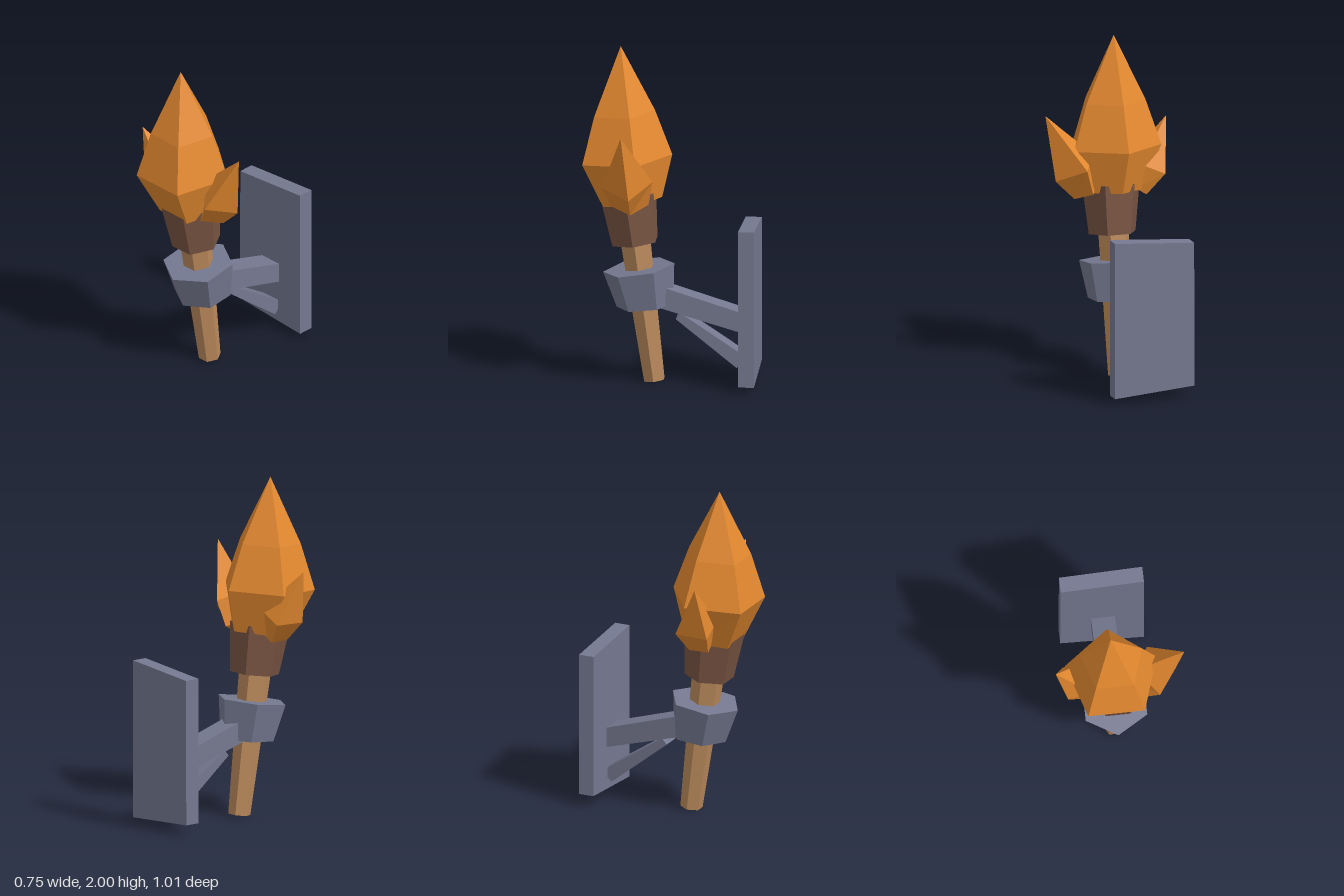
import * as THREE from 'three';

const mat = (name, color) => Object.assign(new THREE.MeshStandardMaterial({ color, flatShading: true }), { name });

// Tilted regular ring of n points, counter-clockwise seen from above; start is the angle from +z
function ring(x, y, z, r, n, start = 0, slope = 0.12) {
  return Array.from({ length: n }, (_, i) => {
    const a = start + (i / n) * Math.PI * 2;
    const dz = r * Math.cos(a);
    return [x + r * Math.sin(a), y - slope * dz, z + dz];
  });
}

// Skin through rings from bottom to top, closed by a fan at each end
function loft(rings) {
  const pos = [];
  const tri = (a, b, c) => pos.push(...a, ...b, ...c);
  const n = rings[0].length;
  for (let k = 0; k < rings.length - 1; k++) {
    const lo = rings[k], hi = rings[k + 1];
    for (let i = 0; i < n; i++) {
      const j = (i + 1) % n;
      tri(lo[i], lo[j], hi[j]);
      tri(lo[i], hi[j], hi[i]);
    }
  }
  const bottom = rings[0], top = rings[rings.length - 1];
  for (let i = 1; i < n - 1; i++) {
    tri(bottom[0], bottom[i + 1], bottom[i]);
    tri(top[0], top[i], top[i + 1]);
  }
  const g = new THREE.BufferGeometry();
  g.setAttribute('position', new THREE.Float32BufferAttribute(pos, 3));
  g.computeVertexNormals();
  return g;
}

const extrude = (pts, depth) => new THREE.ExtrudeGeometry(
  new THREE.Shape(pts.map(p => new THREE.Vector2(...p))), { depth, bevelEnabled: false });

// Bar from a (z, y) side profile, spanning x0 to x1
const sideBar = (pts, x0, x1) => extrude(pts, x1 - x0).rotateY(-Math.PI / 2).translate(x1, 0, 0);

export function createModel() {
  const group = new THREE.Group();
  const iron = mat('iron', 0x757990);
  const wood = mat('lightWood', 0xbb8a5c);
  const dark = mat('darkWood', 0x7a5543);
  const fire = mat('flameOrange', 0xe4892f);
  const add = (name, geometry, material) => {
    const m = new THREE.Mesh(geometry, material);
    m.name = name;
    group.add(m);
  };
  const hex = Math.PI / 6, pent = Math.PI / 5;

  // Wall bracket
  add('wallPlate', extrude([[-0.275, 0.075], [0.215, 0.037], [0.215, 0.972], [-0.272, 0.935]], 0.093)
    .translate(0, 0, -0.503), iron);
  add('bracketArm', sideBar([[-0.42, 0.317], [0.09, 0.465], [0.04, 0.58], [-0.42, 0.437]], -0.095, 0.045), iron);
  add('bracketBrace', sideBar([[-0.385, 0.105], [-0.03, 0.39], [-0.06, 0.425], [-0.42, 0.185], [-0.42, 0.14]],
    -0.083, 0.035), iron);
  add('collar', loft([
    ring(-0.022, 0.458, 0.155, 0.165, 6, 0, 0.1),
    ring(-0.025, 0.68, 0.192, 0.208, 6, 0, 0.15),
  ]), iron);

  // Torch body
  add('handle', loft([
    ring(-0.02, 0.01, 0.1, 0.065, 6, hex),
    ring(-0.028, 0.9, 0.218, 0.096, 6, hex),
  ]), wood);
  add('torchHead', loft([
    ring(-0.02, 0.838, 0.213, 0.144, 6, hex),
    ring(-0.026, 1.13, 0.253, 0.178, 6, hex),
  ]), dark);

  // Flames
  const tip = (x, y, z, n) => Array.from({ length: n }, () => [x, y, z]);
  add('mainFlame', loft([
    ring(-0.03, 1.085, 0.24, 0.185, 5, pent),
    ring(-0.048, 1.34, 0.28, 0.282, 5, pent, 0.07),
    ring(-0.05, 1.61, 0.29, 0.191, 5, pent, 0.07),
    tip(-0.06, 2, 0.3, 5),
  ]), fire);
  add('leftFlame', loft([
    [[0.14, 1.09, 0.34], [0.21, 1.055, 0.22], [0.13, 1.1, 0.12], [0.06, 1.13, 0.23]],
    [[0.22, 1.22, 0.385], [0.325, 1.17, 0.22], [0.175, 1.25, 0.092], [0.09, 1.31, 0.25]],
    tip(0.375, 1.56, 0.26, 4),
  ]), fire);
  add('rightFlame', loft([
    [[-0.15, 1.1, 0.3], [-0.15, 1.1, 0.17], [-0.22, 1.055, 0.18], [-0.215, 1.055, 0.3]],
    [[-0.17, 1.25, 0.337], [-0.17, 1.25, 0.14], [-0.322, 1.18, 0.14], [-0.312, 1.17, 0.337]],
    tip(-0.38, 1.49, 0.29, 4),
  ]), fire);

  return group;
}
